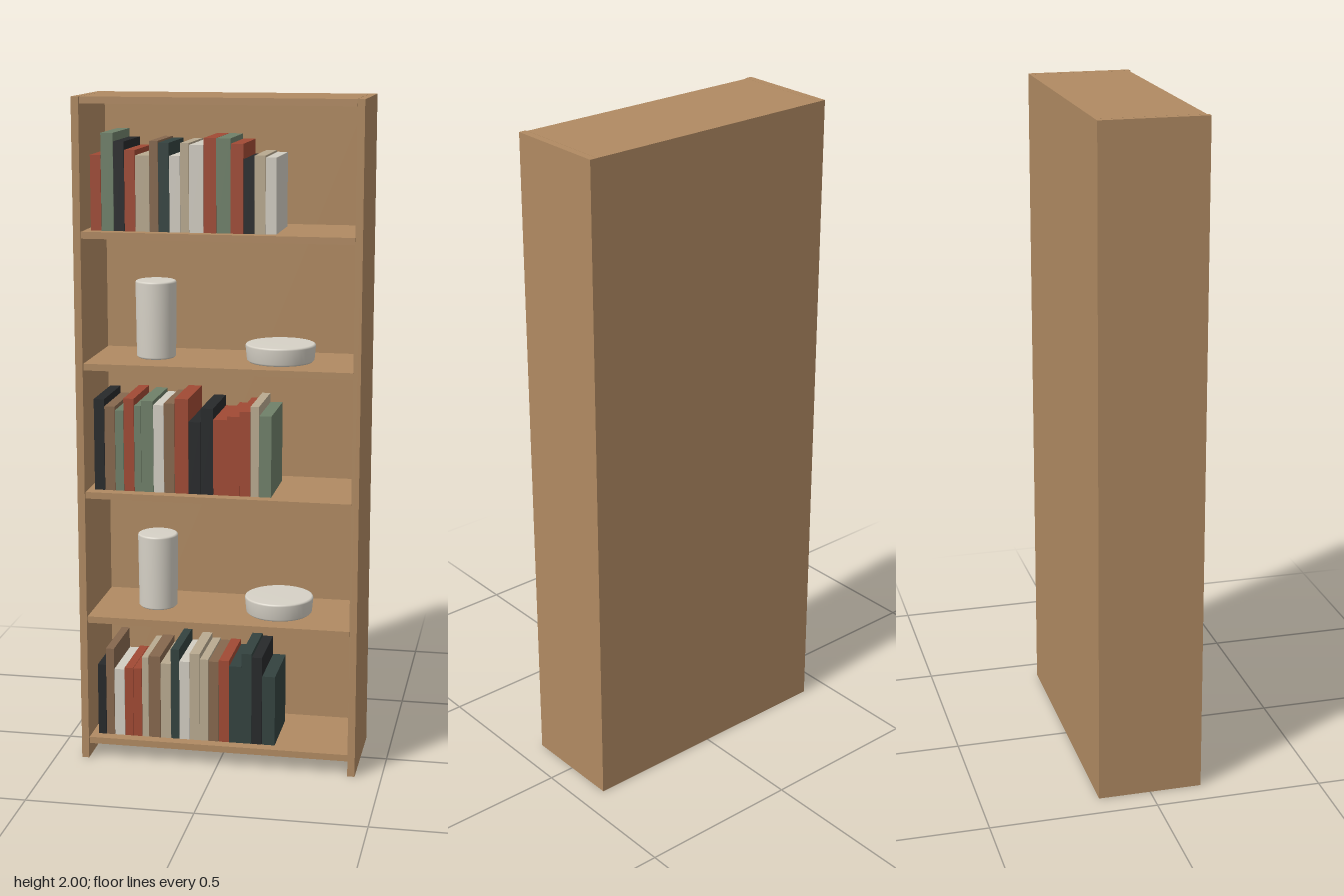
import * as THREE from 'three';

const mat = (name, color) => {
  const m = new THREE.MeshStandardMaterial({ color });
  m.name = name;
  return m;
};

export function createModel() {
  const root = new THREE.Group();
  root.name = 'bookcase';

  const wood = mat('wood', 0xb08a62);
  const ceramic = mat('ceramic', 0xd6d1c6);
  const cover = {
    r: mat('brick red', 0xa04a34),
    g: mat('sage green', 0x6f8069),
    k: mat('charcoal', 0x27292b),
    t: mat('dark teal', 0x33423f),
    n: mat('brown', 0x86684e),
    b: mat('beige', 0xb9aa90),
    w: mat('off white', 0xd2cdc2),
  };

  // Box given by its lower and upper corners
  const box = (parent, name, material, x0, x1, y0, y1, z0, z1) => {
    const mesh = new THREE.Mesh(new THREE.BoxGeometry(x1 - x0, y1 - y0, z1 - z0), material);
    mesh.position.set((x0 + x1) / 2, (y0 + y1) / 2, (z0 + z1) / 2);
    mesh.name = name;
    parent.add(mesh);
  };

  // Carcass
  box(root, 'leftSide', wood, 0.398, 0.42, 0, 2, -0.156, 0.156);
  box(root, 'rightSide', wood, -0.42, -0.398, 0, 2, -0.156, 0.156);
  box(root, 'backPanel', wood, -0.398, 0.398, 0, 2, -0.156, -0.152);

  // Shelf boards, bottom to top, the last one closing the case
  const shelfTops = [0.065, 0.452, 0.84, 1.228, 1.615, 2];
  shelfTops.forEach((y, i) =>
    box(root, i === 5 ? 'topBoard' : 'shelf', wood, -0.397, 0.397, y - 0.02, y, -0.152, 0.15));

  // Book rows: [cover, thickness, height] in thousandths, from the right side
  const rows = {
    0: 'k26,223 n26,276 w32,212 r27,218 r27,218 b21,255 n37,260 b32,239 t26,286 w32,249 ' +
       'b32,276 b26,260 n32,255 r32,260 t37,244 t32,286 k32,276 t40,218',
    2: 'k32,276 n32,255 g26,244 r32,281 g21,260 g37,276 w32,265 n32,271 r42,286 k37,218 ' +
       'k37,260 r42,228 r37,239 r32,255 b26,271 g37,244',
    4: 'r32,218 g37,281 k32,257 r32,233 b42,218 n26,260 t32,255 w32,218 b26,255 w42,250 ' +
       'r37,270 g42,270 r37,255 k32,212 b32,223 w32,218',
  };
  for (const [shelf, row] of Object.entries(rows)) {
    const books = new THREE.Group();
    books.name = 'bookRow';
    const y = shelfTops[shelf];
    let x = -0.377;
    for (const code of row.split(' ')) {
      const [thick, height] = code.slice(1).split(',').map((v) => v / 1000);
      box(books, 'book', cover[code[0]], x, x + thick - 0.001, y, y + height, -0.092, 0.115);
      x += thick;
    }
    root.add(books);
  }

  // Closed round vessel with softened edges
  const vessel = (name, x, y, r, h) => {
    const e = 0.006;
    const profile = [
      [0, 0], [r * 0.96 - e, 0], [r * 0.96, e], [r, h - e], [r - e * 0.3, h - e * 0.3],
      [r - e, h], [0, h],
    ].map(([a, b]) => new THREE.Vector2(a, b));
    const mesh = new THREE.Mesh(new THREE.LatheGeometry(profile, 40), ceramic);
    mesh.position.set(x, y, 0);
    mesh.name = name;
    root.add(mesh);
  };
  for (const y of [shelfTops[1], shelfTops[3]]) {
    vessel('vase', -0.211, y, 0.061, 0.231);
    vessel('bowl', 0.164, y, 0.104, 0.054);
  }

  return root;
}
